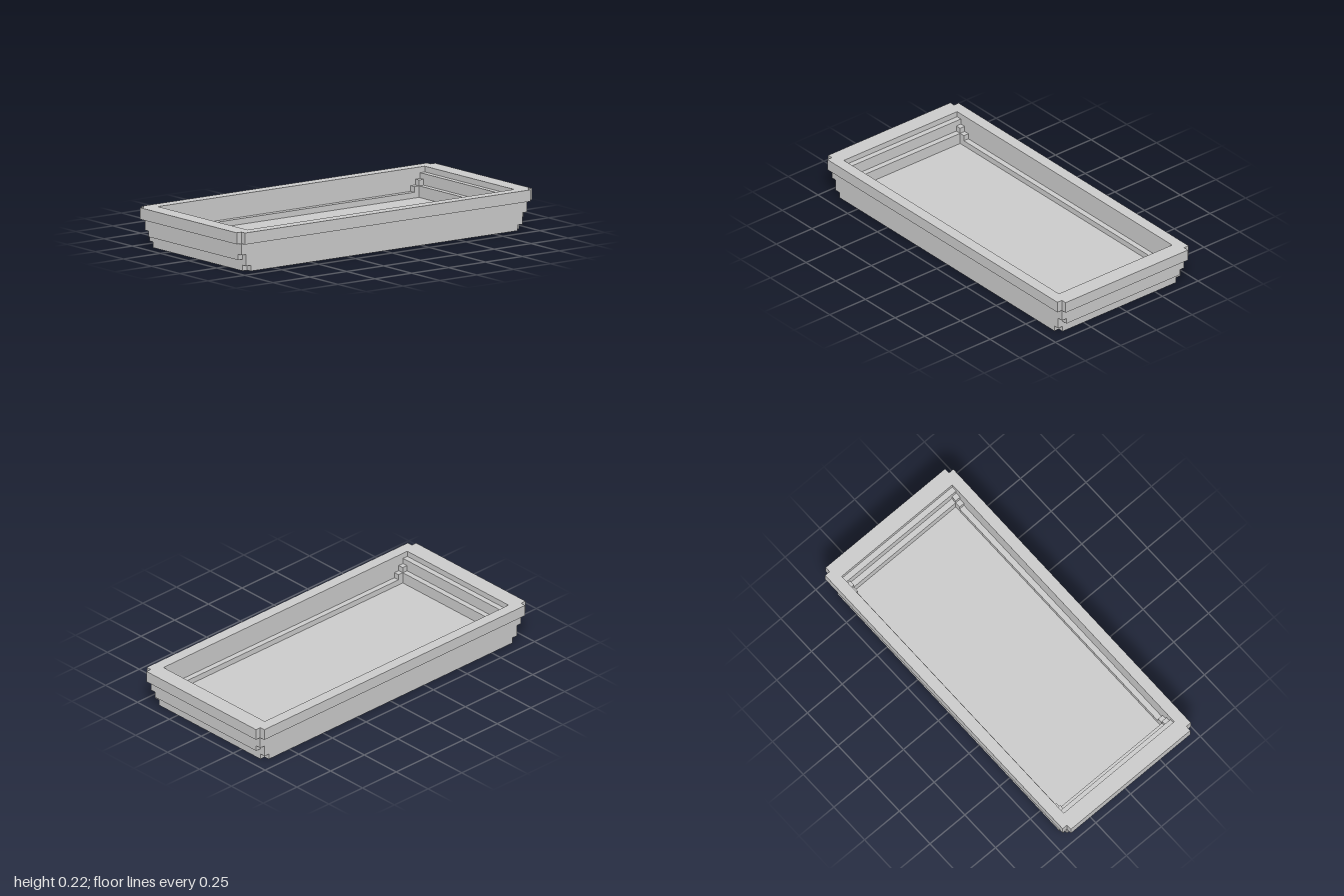
import * as THREE from 'three';

const U = 2 / 63; // one grid step of the stepped tray

// Corner points of a rectangle, optionally with a one-step square bite at each corner
function outline(hx, hz, notched) {
  const n = notched ? 1 : 0;
  const pts = [];
  for (const [sx, sz] of [[1, 1], [-1, 1], [-1, -1], [1, -1]]) {
    const side = [sx * hx, sz * (hz - n)];
    const inner = [sx * (hx - n), sz * (hz - n)];
    const end = [sx * (hx - n), sz * hz];
    if (!n) pts.push(side);
    else pts.push(...(sx * sz > 0 ? [side, inner, end] : [end, inner, side]));
  }
  return pts.map(([x, z]) => new THREE.Vector2(x * U, z * U));
}

// One horizontal course: outer outline, optional opening, bottom and top in steps
function course(name, y0, y1, outer, opening, material) {
  const shape = new THREE.Shape(outline(...outer));
  if (opening) shape.holes.push(new THREE.Path(outline(...opening)));
  const geometry = new THREE.ExtrudeGeometry(shape, { depth: (y1 - y0) * U, bevelEnabled: false });
  geometry.rotateX(-Math.PI / 2);
  geometry.translate(0, y0 * U, 0);
  const mesh = new THREE.Mesh(geometry, material);
  mesh.name = name;
  return mesh;
}

export function createModel() {
  const group = new THREE.Group();
  group.name = 'steppedTray';
  const material = new THREE.MeshStandardMaterial({ color: 0xcccccc, flatShading: true });

  // name, bottom, top, outer [halfX, halfZ, notched], opening [halfX, halfZ, notched]
  const courses = [
    // Solid floor
    ['baseNotched', 0, 1, [29.5, 13.5, true], null],
    ['floor', 1, 2, [29.5, 13.5, false], null],
    // Walls, stepping outwards at the short ends
    ['wallLedge', 2, 3, [30.5, 13.5, true], [26.5, 11.5, false]],
    ['wallMiddle', 3, 4, [30.5, 13.5, false], [26.5, 12.5, true]],
    ['wallUpper', 4, 5, [30.5, 13.5, false], [27.5, 12.5, true]],
    // Overhanging rim
    ['rimLower', 5, 6, [31.5, 14.5, true], [27.5, 12.5, false]],
    ['rimUpper', 6, 7, [31.5, 14.5, true], [28.5, 12.5, false]],
  ];
  for (const c of courses) group.add(course(...c, material));
  return group;
}
